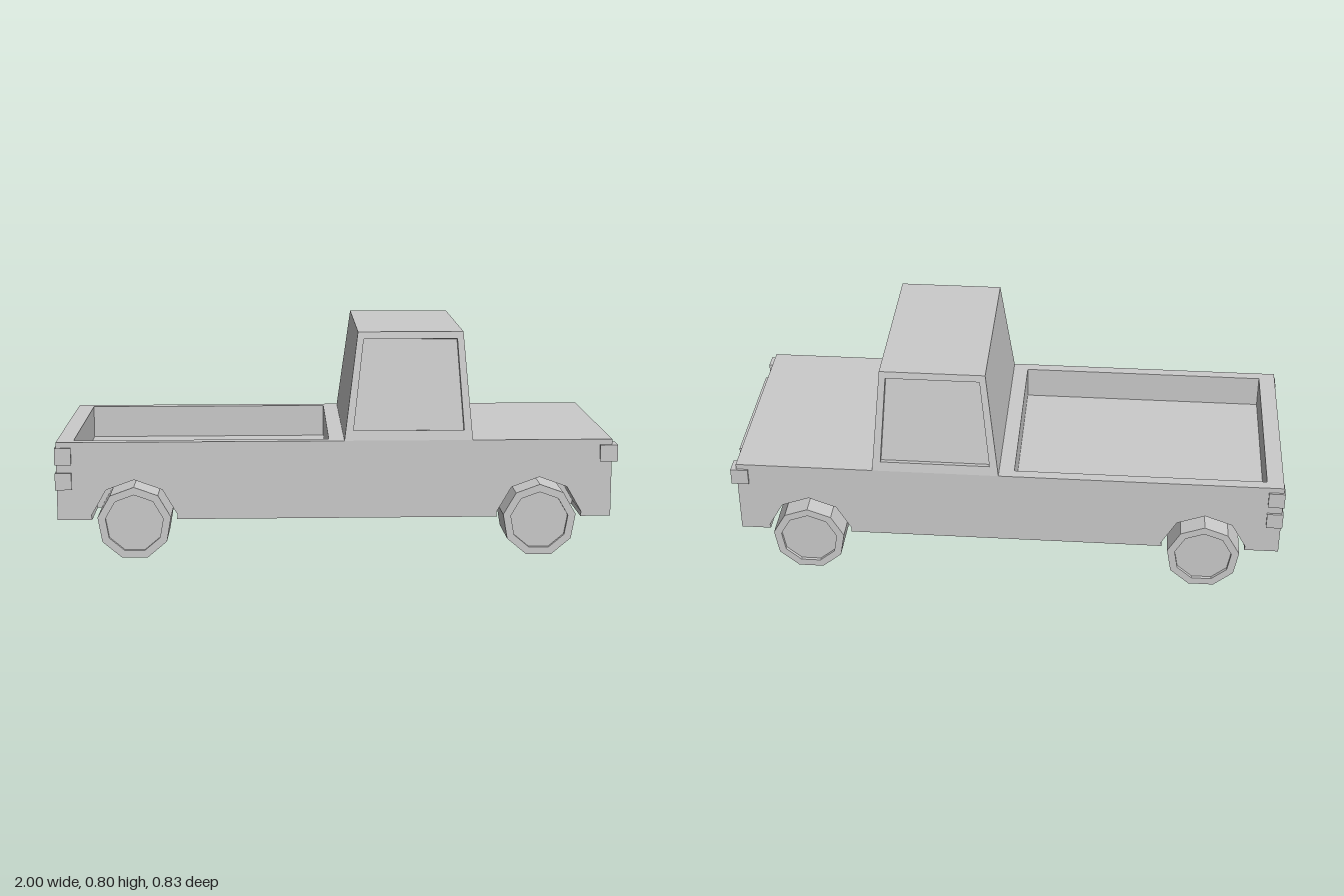
import * as THREE from 'three';

const mat = new THREE.MeshStandardMaterial({ color: 0xcccccc, flatShading: true });

// Main dimensions
const BACK = -0.995, FRONT = 0.98, HALF = 0.386;
const FLOOR = 0.135, BED = 0.295, DECK = 0.415;
const AXLE_X = 0.722, AXLE_Y = 0.124, TYRE_R = 0.132, ARCH_R = 0.155;
const WELL_Z = 0.2;

function add(parent, name, geometry) {
  const mesh = new THREE.Mesh(geometry, mat);
  mesh.name = name;
  parent.add(mesh);
  return mesh;
}

function box(parent, name, x0, x1, y0, y1, z0, z1) {
  const mesh = add(parent, name, new THREE.BoxGeometry(x1 - x0, y1 - y0, z1 - z0));
  mesh.position.set((x0 + x1) / 2, (y0 + y1) / 2, (z0 + z1) / 2);
  return mesh;
}

// Quads with corners counter-clockwise from outside
function quadGeometry(quads) {
  const pos = [];
  for (const [a, b, c, d] of quads)
    for (const p of [a, b, c, a, c, d]) pos.push(p.x, p.y, p.z);
  const g = new THREE.BufferGeometry();
  g.setAttribute('position', new THREE.Float32BufferAttribute(pos, 3));
  g.computeVertexNormals();
  return g;
}

// Wall with a recessed pane; corners run bottom-left, bottom-right, top-right, top-left
function windowWall(c, u, v0, v1, depth) {
  const at = (s, t) => c[0].clone().lerp(c[1], s).lerp(c[3].clone().lerp(c[2], s), t);
  const rim = [at(u, v0), at(1 - u, v0), at(1 - u, v1), at(u, v1)];
  const inward = c[1].clone().sub(c[0]).cross(c[3].clone().sub(c[0])).normalize().multiplyScalar(-depth);
  const pane = rim.map(p => p.clone().add(inward));
  const frame = [];
  for (let i = 0; i < 4; i++) {
    const j = (i + 1) % 4;
    frame.push([c[i], c[j], rim[j], rim[i]], [rim[i], rim[j], pane[j], pane[i]]);
  }
  return { frame: quadGeometry(frame), pane: quadGeometry([pane]) };
}

// Lower side profile with a faceted arch over each wheel
function sideProfile() {
  const s = new THREE.Shape();
  s.moveTo(BACK, FLOOR);
  for (const cx of [-AXLE_X, AXLE_X]) {
    s.lineTo(cx - 0.15, FLOOR);
    for (const deg of [170, 130, 90, 50, 10]) {
      const a = THREE.MathUtils.degToRad(deg);
      s.lineTo(cx + ARCH_R * Math.cos(a), AXLE_Y + ARCH_R * Math.sin(a));
    }
    s.lineTo(cx + 0.15, FLOOR);
  }
  s.lineTo(FRONT, FLOOR);
  s.lineTo(FRONT, BED);
  s.lineTo(BACK, BED);
  s.closePath();
  return s;
}

function rectangle(PathType, x0, x1, h) {
  return new PathType([[x0, -h], [x1, -h], [x1, h], [x0, h]].map(p => new THREE.Vector2(...p)));
}

function buildBody(body) {
  // Chassis between the wheel wells, and the two arched sides
  box(body, 'chassis', BACK, FRONT, FLOOR, BED, -WELL_Z, WELL_Z);
  for (const z of [WELL_Z, -HALF]) {
    const side = new THREE.ExtrudeGeometry(sideProfile(), { depth: HALF - WELL_Z, bevelEnabled: false });
    add(body, 'lowerSide', side).position.z = z;
  }
  // Upper body with the open cargo bed
  const deck = rectangle(THREE.Shape, BACK, FRONT, HALF);
  deck.holes.push(rectangle(THREE.Path, -0.935, -0.03, 0.348));
  const upper = new THREE.ExtrudeGeometry(deck, { depth: DECK - BED, bevelEnabled: false });
  upper.rotateX(-Math.PI / 2);
  add(body, 'upperBody', upper).position.y = BED;
}

function buildCab(body) {
  const cab = new THREE.Group();
  cab.name = 'cab';
  body.add(cab);
  const V = (x, y, z) => new THREE.Vector3(x, y, z);
  const TOP = 0.795, TH = 0.32;
  // Base and roof corners: back/front, then +z/-z
  const bl = V(0.025, DECK, HALF), br = V(0.025, DECK, -HALF);
  const fl = V(0.482, DECK, HALF), fr = V(0.482, DECK, -HALF);
  const tbl = V(0.075, TOP, TH), tbr = V(0.075, TOP, -TH);
  const tfl = V(0.45, TOP, TH), tfr = V(0.45, TOP, -TH);

  add(cab, 'roof', quadGeometry([[tbl, tfl, tfr, tbr]]));
  add(cab, 'rearWall', quadGeometry([[br, bl, tbl, tbr]]));
  const walls = [
    ['sideWindow', [bl, fl, tfl, tbl], 0.062, 0.092, 0.934],
    ['sideWindow', [fr, br, tbr, tfr], 0.062, 0.092, 0.934],
    ['windshield', [fl, fr, tfr, tfl], 0.044, 0.06, 0.955],
  ];
  for (const [name, corners, u, v0, v1] of walls) {
    const { frame, pane } = windowWall(corners, u, v0, v1, 0.02);
    add(cab, name + 'Frame', frame);
    add(cab, name, pane);
  }
}

function buildLamps(body) {
  box(body, 'grille', FRONT - 0.02, 0.997, 0.303, 0.39, -0.248, 0.248);
  for (const s of [-1, 1]) {
    const z0 = Math.min(s * 0.334, s * 0.394), z1 = Math.max(s * 0.334, s * 0.394);
    box(body, 'headlight', 0.937, 1, 0.335, 0.395, z0, z1);
    for (const y of [0.245, 0.335]) box(body, 'tailLight', -1, -0.942, y, y + 0.06, z0, z1);
  }
}

// Nine-sided wheel with a shallow recessed hub
function wheelGeometry() {
  const w = 0.101, hub = 0.104;
  const profile = [[0, -w], [TYRE_R, -w], [TYRE_R, w], [hub, w], [hub, w - 0.012], [0, w - 0.012]];
  const g = new THREE.LatheGeometry(profile.map(p => new THREE.Vector2(...p)), 9, Math.PI);
  return g.rotateX(Math.PI / 2);
}

export function createModel() {
  const model = new THREE.Group();
  model.name = 'pickupTruck';

  const body = new THREE.Group();
  body.name = 'body';
  body.position.z = 0.011;
  model.add(body);
  buildBody(body);
  buildCab(body);
  buildLamps(body);

  const wheel = wheelGeometry();
  for (const [place, x] of [['rear', -AXLE_X], ['front', AXLE_X]])
    for (const s of [-1, 1]) {
      const mesh = add(model, place + 'Wheel', wheel);
      mesh.position.set(x, AXLE_Y, s * 0.315);
      if (s < 0) mesh.rotation.y = Math.PI;
    }
  return model;
}
